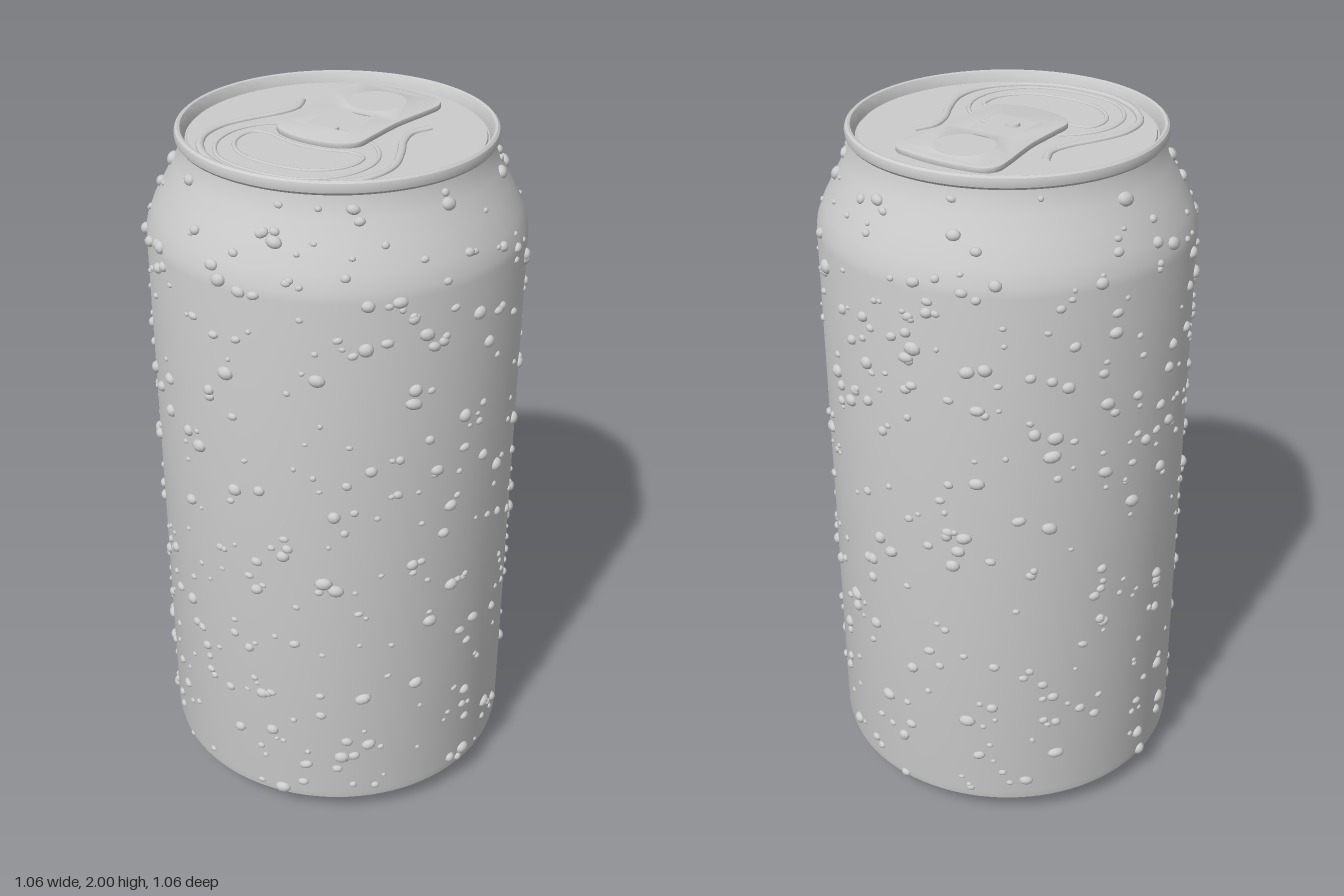
import * as THREE from 'three';
import { mergeGeometries, toCreasedNormals } from 'three/addons/utils/BufferGeometryUtils.js';

const metal = new THREE.MeshStandardMaterial({ color: 0xcccccc });
const PANEL = 1.972; // height of the recessed lid panel
const CX = -0.01; // the lid details sit slightly off centre

const v2 = (list) => list.map(([x, y]) => new THREE.Vector2(x, y));

function add(group, name, geometry) {
  const mesh = new THREE.Mesh(geometry, metal);
  mesh.name = name;
  group.add(mesh);
  return mesh;
}

const lathe = (points) => toCreasedNormals(new THREE.LatheGeometry(v2(points), 96), 0.5);

// Outer wall, from the foot up to the neck
const wall = [
  [0.41, 0.03], [0.425, 0.042], [0.47, 0.047], [0.497, 0.057], [0.511, 0.075], [0.515, 0.1],
  [0.515, 1.72], [0.511, 1.745], [0.494, 1.79], [0.462, 1.85], [0.432, 1.905], [0.416, 1.94], [0.41, 1.97],
];

// Ridge following a path of [x, z] points on the lid, flattened to a low bead
function ridge(points, radius, closed) {
  const curve = new THREE.CatmullRomCurve3(
    points.map(([x, z]) => new THREE.Vector3(x + CX, 0, z)), closed);
  const tube = new THREE.TubeGeometry(curve, 90, radius, 8, closed);
  return tube.scale(1, 0.7, 1).translate(0, PANEL, 0);
}

// Mirrors a half outline across x, in order, to make a closed loop
const mirrored = (half) => [...half, ...half.slice().reverse()
  .filter(([x]) => x !== 0).map(([x, z]) => [-x, z])];

// Pull tab with a finger hole and a square rivet window
function tabGeometry() {
  const half = [[0, -0.335], [0.07, -0.33], [0.135, -0.315], [0.156, -0.285], [0.153, -0.23],
    [0.142, -0.16], [0.133, -0.09], [0.132, 0.02], [0.128, 0.08], [0.09, 0.115], [0, 0.132]];
  const loop = new THREE.CatmullRomCurve3(
    mirrored(half).map(([x, z]) => new THREE.Vector3(x, -z, 0)), true);
  const shape = new THREE.Shape(loop.getPoints(80).map((p) => new THREE.Vector2(p.x, p.y)));
  const finger = new THREE.Path();
  finger.absarc(0, 0.21, 0.084, 0, Math.PI * 2, true);
  const rivetWindow = new THREE.Path(v2([[-0.07, 0.1], [0.07, 0.1], [0.07, -0.04], [-0.07, -0.04]]));
  shape.holes.push(finger, rivetWindow);
  const geometry = new THREE.ExtrudeGeometry(shape, {
    depth: 0.01, bevelThickness: 0.003, bevelSize: 0.003, bevelOffset: -0.003,
    bevelSegments: 2, curveSegments: 32,
  });
  geometry.rotateX(-Math.PI / 2).translate(CX, PANEL + 0.006, 0);
  return toCreasedNormals(geometry, 0.6);
}

// Water beads scattered over the wall, flattened against the surface
function dropletGeometry(count) {
  let seed = 7;
  const random = () => {
    seed = (seed * 16807) % 2147483647;
    return seed / 2147483647;
  };
  const unit = new THREE.SphereGeometry(1, 10, 7);
  const holder = new THREE.Object3D();
  const drops = [];
  for (let n = 0; n < count; n++) {
    const y = 0.085 + 1.855 * random();
    const angle = random() * Math.PI * 2;
    const i = wall.findIndex((p) => p[1] > y);
    const [r0, y0] = wall[i - 1];
    const [r1, y1] = wall[i];
    const r = r0 + (r1 - r0) * (y - y0) / (y1 - y0);
    const normal = new THREE.Vector3((y1 - y0) * Math.sin(angle), r0 - r1, (y1 - y0) * Math.cos(angle));
    holder.position.set(r * Math.sin(angle), y, r * Math.cos(angle));
    holder.lookAt(normal.add(holder.position));
    holder.rotateZ((random() - 0.5) * 0.6);
    const size = 0.007 + 0.013 * Math.pow(random(), 1.6);
    holder.scale.set(size * (1 + 0.35 * random()), size * (0.8 + 0.2 * random()), size * 0.8);
    holder.updateMatrix();
    drops.push(unit.clone().applyMatrix4(holder.matrix));
  }
  return mergeGeometries(drops);
}

export function createModel() {
  const can = new THREE.Group();
  can.name = 'drinkCan';

  add(can, 'body', lathe(wall));

  // Domed underside and the foot ring it stands on
  add(can, 'base', lathe([
    [0, 0.1], [0.1, 0.097], [0.2, 0.087], [0.28, 0.07], [0.33, 0.05], [0.348, 0.03], [0.358, 0.01],
    [0.37, 0.001], [0.382, 0], [0.396, 0.006], [0.405, 0.017], [0.41, 0.03],
  ]));

  // Rolled rim, inner wall and recessed panel
  const lid = new THREE.Group();
  lid.name = 'lid';
  can.add(lid);
  add(lid, 'rim', lathe([
    [0.408, 1.962], [0.42, 1.964], [0.426, 1.971], [0.428, 1.985], [0.425, 1.995], [0.419, 2],
    [0.412, 1.998], [0.407, 1.99], [0.402, 1.972], [0.4, 1.965], [0.396, 1.965], [0.393, PANEL],
    [0, PANEL],
  ]));

  // Mouth: a kidney-shaped score line inside a larger rounded border
  add(lid, 'mouthScore', ridge(mirrored([
    [0, 0.142], [0.07, 0.132], [0.13, 0.113], [0.17, 0.125], [0.18, 0.17], [0.16, 0.225],
    [0.1, 0.275], [0, 0.292],
  ]), 0.006, true));
  add(lid, 'mouthBorder', ridge(mirrored([
    [0, 0.0], [0.12, 0.02], [0.19, 0.08], [0.218, 0.16], [0.2, 0.25], [0.13, 0.325], [0, 0.352],
  ]), 0.006, true));

  // Long bead sweeping around the mouth, with flared ends beside the tab
  const sweep = [[0, 0.382], [0.1, 0.368], [0.2, 0.31], [0.258, 0.23], [0.267, 0.14], [0.235, 0.05],
    [0.195, -0.03], [0.182, -0.09], [0.205, -0.15]];
  const path = [...sweep.slice().reverse(), ...sweep.slice(1).map(([x, z]) => [-x, z])];
  add(lid, 'sweepBead', ridge(path, 0.011, false));

  // Pull tab, its rivet and the tongue below the window
  add(lid, 'pullTab', tabGeometry());
  const rivet = add(lid, 'rivet', new THREE.CylinderGeometry(0.018, 0.022, 0.014, 24));
  rivet.position.set(CX, PANEL + 0.006, 0.012);
  const tongue = add(lid, 'tabTongue', new THREE.BoxGeometry(0.14, 0.004, 0.135));
  tongue.position.set(CX, PANEL + 0.004, -0.03);

  add(can, 'droplets', dropletGeometry(680));
  return can;
}
